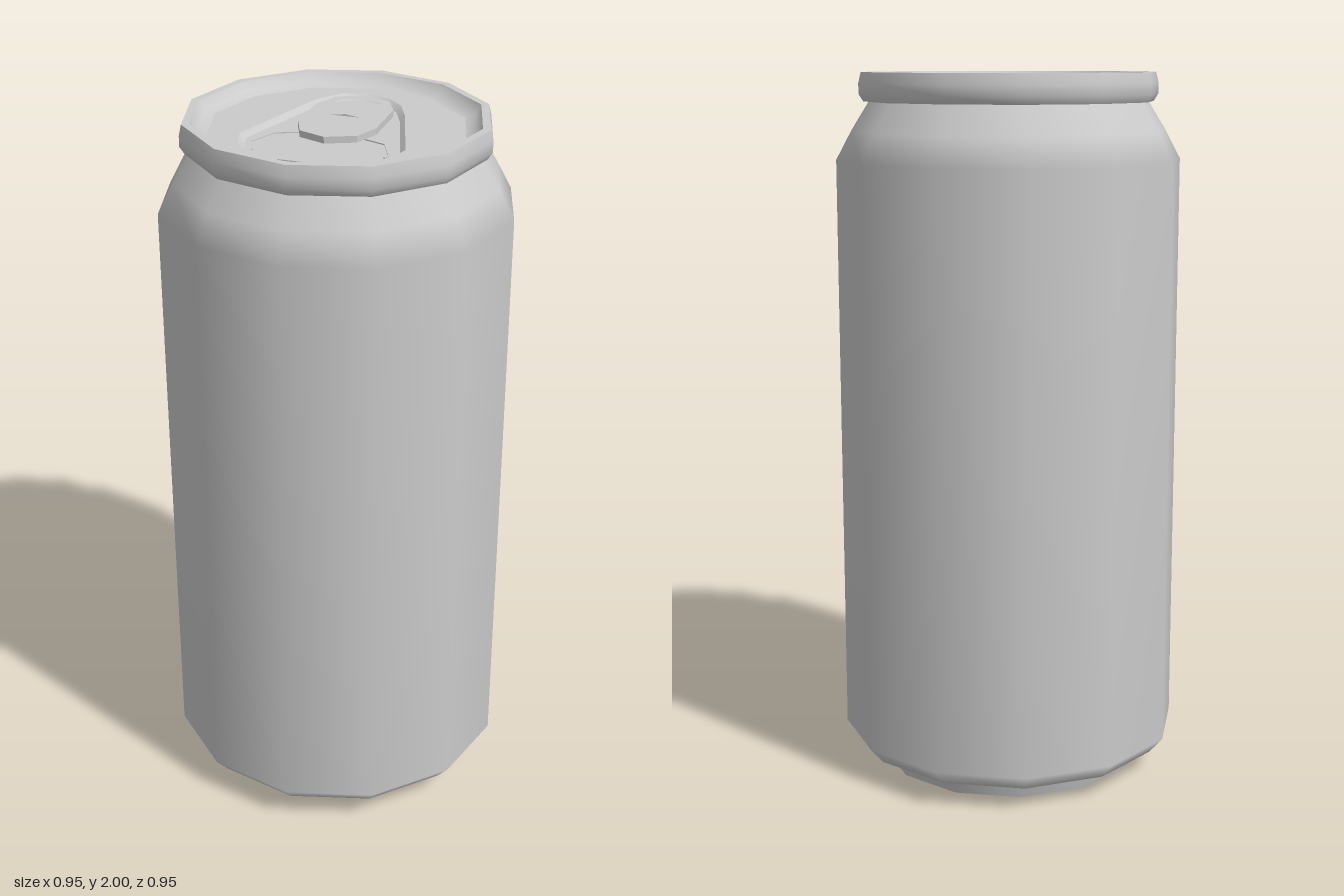
import * as THREE from 'three';
import { toCreasedNormals } from 'three/addons/utils/BufferGeometryUtils.js';

const SIDES = 12;
const TURN = THREE.MathUtils.degToRad(13.5);
const FLOOR_Y = 1.967, PANEL_Y = 1.953;
const grey = new THREE.MeshStandardMaterial({ color: 0xcccccc });
const greyDouble = new THREE.MeshStandardMaterial({ color: 0xcccccc, side: THREE.DoubleSide });

// Plan outlines as [x, z]
const PANEL = [[-0.25, -0.075], [0.06, -0.235], [0.15, -0.247], [0.21, -0.21], [0.24, -0.14], [0.235, -0.07],
  [0.2, 0.01], [0.06, 0.25], [-0.03, 0.295], [-0.14, 0.275], [-0.25, 0.18], [-0.3, 0.1], [-0.298, 0.01]];
const TAB = [[0, 0.106], [-0.08, 0.072], [-0.11, -0.005], [-0.076, -0.08], [0.03, -0.182], [0.11, -0.215],
  [0.19, -0.184], [0.218, -0.105], [0.19, -0.035], [0.075, 0.075]];
const FINGER_HOLE = [[0.045, -0.135], [0.055, -0.162], [0.112, -0.186], [0.17, -0.162], [0.19, -0.105],
  [0.17, -0.05], [0.135, -0.04]];
const SLOT = [[-0.07, -0.05], [-0.05, -0.07], [0, -0.09], [0.06, -0.066], [0.085, -0.005], [0.06, 0.062],
  [0.042, 0.076], [0.03, 0.062], [0.058, 0], [0.04, -0.042], [0, -0.064], [-0.06, -0.036]];
const SCORES = [
  [[-0.265, 0.025], [-0.235, -0.035], [-0.155, -0.066], [-0.095, -0.04]],
  [[0.03, 0.095], [0.055, 0.155], [0.02, 0.235], [0, 0.245]],
  [[-0.24, 0.125], [-0.14, 0.235]],
];

const flip = (pts) => pts.map(([x, z]) => new THREE.Vector2(x, -z));

function add(parent, name, geometry, material = grey) {
  const mesh = new THREE.Mesh(geometry, material);
  mesh.name = name;
  parent.add(mesh);
  return mesh;
}

// One smooth turned band; profile listed as [radius, height]
function band(parent, name, profile) {
  const pts = profile.map(([r, y]) => new THREE.Vector2(r, y));
  return add(parent, name, new THREE.LatheGeometry(pts, SIDES, TURN, Math.PI * 2));
}

// Flat or extruded plate lying level at height y
function plate(parent, name, outline, holes, y, depth = 0) {
  const shape = new THREE.Shape(outline);
  for (const hole of holes) shape.holes.push(new THREE.Path(hole));
  const geometry = depth
    ? new THREE.ExtrudeGeometry(shape, { depth, bevelEnabled: false })
    : new THREE.ShapeGeometry(shape);
  geometry.rotateX(-Math.PI / 2).translate(0, y, 0);
  return add(parent, name, geometry);
}

// Sloping wall joining two loops of equal length
function wall(upper, yUpper, lower, yLower) {
  const position = [], index = [], n = upper.length;
  for (let i = 0; i < n; i++) {
    position.push(upper[i][0], yUpper, upper[i][1], lower[i][0], yLower, lower[i][1]);
    const a = 2 * i, b = 2 * ((i + 1) % n);
    index.push(a, a + 1, b, b, a + 1, b + 1);
  }
  const geometry = new THREE.BufferGeometry();
  geometry.setAttribute('position', new THREE.Float32BufferAttribute(position, 3));
  geometry.setIndex(index);
  geometry.computeVertexNormals();
  return toCreasedNormals(geometry, 0.9);
}

export function createModel() {
  const can = new THREE.Group();
  can.name = 'drinkCan';

  // Turned shell, split wherever an edge is sharp
  band(can, 'baseDome', [[0, 0.11], [0.2, 0.085], [0.31, 0.045], [0.35, 0]]);
  band(can, 'standingRing', [[0.35, 0], [0.37, 0]]);
  band(can, 'foot', [[0.37, 0], [0.388, 0.06]]);
  band(can, 'baseStep', [[0.388, 0.06], [0.447, 0.06]]);
  band(can, 'body', [[0.447, 0.06], [0.486, 0.105], [0.486, 1.76], [0.443, 1.84], [0.393, 1.92]]);
  band(can, 'rimUnderside', [[0.393, 1.92], [0.408, 1.92]]);
  band(can, 'rim', [[0.408, 1.92], [0.421, 1.94], [0.421, 1.97], [0.414, 2]]);
  band(can, 'rimTop', [[0.414, 2], [0.392, 2]]);
  band(can, 'rimInside', [[0.392, 2], [0.376, 1.975], [0.348, FLOOR_Y]]);

  // Lid floor with a sunken teardrop panel
  const lid = new THREE.Group();
  lid.name = 'lid';
  can.add(lid);
  const edge = [];
  for (let i = 0; i < SIDES; i++) {
    const a = TURN + (i / SIDES) * Math.PI * 2;
    edge.push([0.348 * Math.sin(a), 0.348 * Math.cos(a)]);
  }
  const inner = PANEL.map(([x, z]) => [-0.03 + (x + 0.03) * 0.93, 0.02 + (z - 0.02) * 0.93]);
  plate(lid, 'lidFloor', flip(edge), [flip(PANEL)], FLOOR_Y);
  add(lid, 'panelWall', wall(PANEL, FLOOR_Y, inner, PANEL_Y), greyDouble);
  plate(lid, 'panelFloor', flip(inner), [], PANEL_Y);

  // Pull tab with finger hole and curved slot
  plate(lid, 'pullTab', flip(TAB), [flip(FINGER_HOLE), flip(SLOT)], PANEL_Y + 0.001, 0.018);

  // Fine score lines around the opening
  for (const line of SCORES) {
    for (let i = 0; i + 1 < line.length; i++) {
      const [[x0, z0], [x1, z1]] = [line[i], line[i + 1]];
      const score = add(lid, 'scoreLine', new THREE.BoxGeometry(Math.hypot(x1 - x0, z1 - z0), 0.004, 0.004));
      score.position.set((x0 + x1) / 2, PANEL_Y + 0.001, (z0 + z1) / 2);
      score.rotation.y = -Math.atan2(z1 - z0, x1 - x0);
    }
  }
  return can;
}
